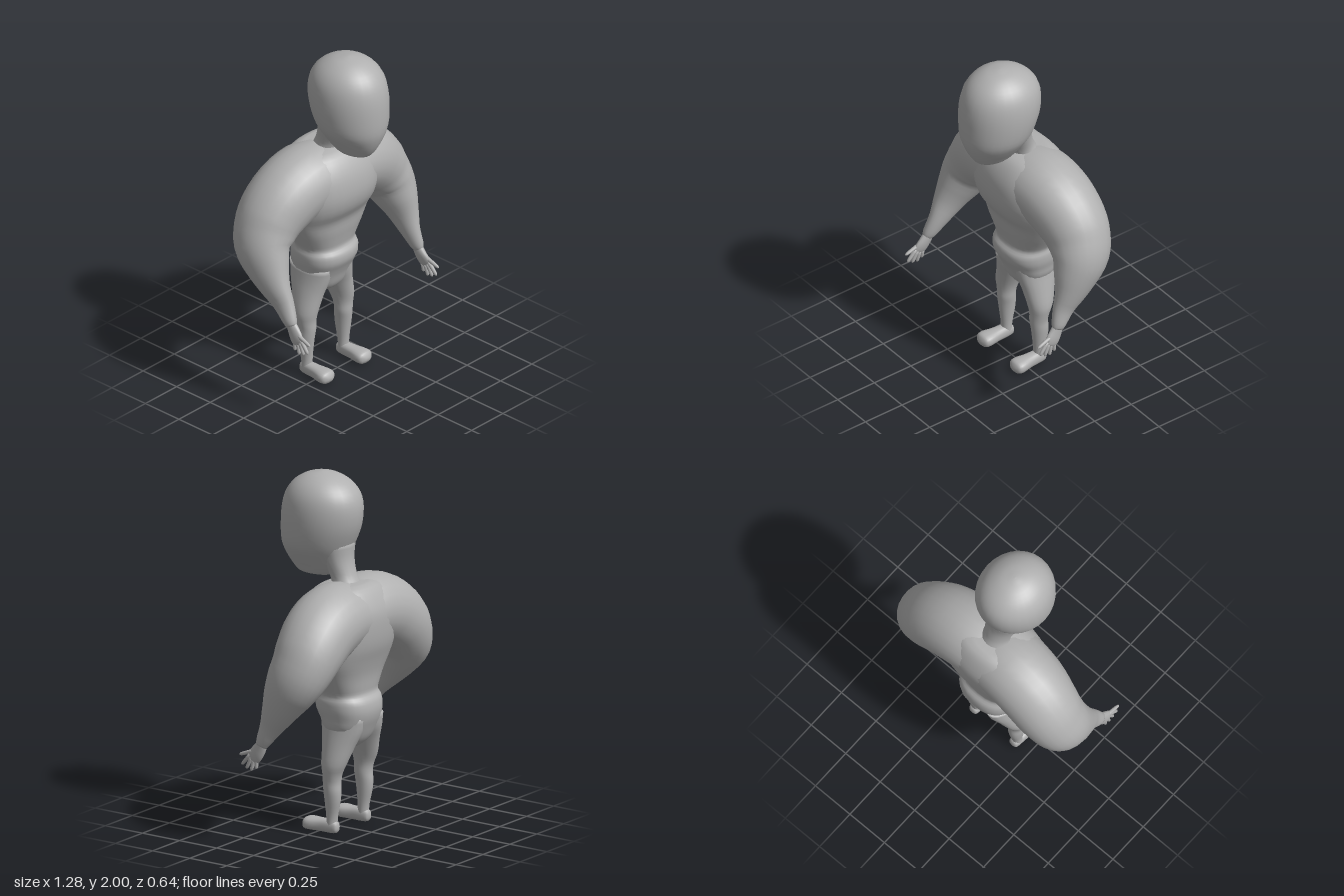
import * as THREE from 'three';

const X = new THREE.Vector3(1, 0, 0), Y = new THREE.Vector3(0, 1, 0), Z = new THREE.Vector3(0, 0, 1);

const skin = new THREE.MeshStandardMaterial({ color: 0xb0b0b0 });
skin.name = 'grey skin';

// Smooth closed skin through rows [x, y, z, sideRadius, depthRadius].
// axis fixes the ring plane; without it rings stand square to the path.
function loft(name, rows, { steps = 3, sides = 20, axis = null, depth = Z, power = 2 } = {}) {
  const path = new THREE.CatmullRomCurve3(rows.map(r => new THREE.Vector3(r[0], r[1], r[2])), false, 'catmullrom', 0.5);
  const size = new THREE.CatmullRomCurve3(rows.map(r => new THREE.Vector3(r[3], r[4], 0)), false, 'catmullrom', 0.5);
  const n = (rows.length - 1) * steps, pos = [], idx = [];
  const bend = v => Math.sign(v) * Math.abs(v) ** (2 / power);
  for (let i = 0; i <= n; i++) {
    const c = path.getPoint(i / n), r = size.getPoint(i / n);
    const t = axis || path.getTangent(i / n);
    const v = depth.clone().addScaledVector(t, -depth.dot(t)).normalize();
    const u = v.clone().cross(t);
    for (let j = 0; j < sides; j++) {
      const a = j / sides * Math.PI * 2;
      const p = c.clone()
        .addScaledVector(u, bend(Math.cos(a)) * Math.max(r.x, 0.001))
        .addScaledVector(v, bend(Math.sin(a)) * Math.max(r.y, 0.001));
      pos.push(p.x, p.y, p.z);
    }
  }
  for (let i = 0; i < n; i++) for (let j = 0; j < sides; j++) {
    const k = (j + 1) % sides, a = i * sides + j, b = i * sides + k;
    idx.push(a, b, a + sides, b, b + sides, a + sides);
  }
  // end caps
  [[0, rows[0]], [n, rows[rows.length - 1]]].forEach(([ring, r], end) => {
    const c = pos.length / 3;
    pos.push(r[0], r[1], r[2]);
    for (let j = 0; j < sides; j++) {
      const a = ring * sides + j, b = ring * sides + (j + 1) % sides;
      if (end) idx.push(a, b, c); else idx.push(b, a, c);
    }
  });
  const g = new THREE.BufferGeometry();
  g.setAttribute('position', new THREE.Float32BufferAttribute(pos, 3));
  g.setIndex(idx);
  g.computeVertexNormals();
  const mesh = new THREE.Mesh(g, skin);
  mesh.name = name;
  return mesh;
}

// Level rings from [y, halfWidth, frontZ, backZ, x]
const level = rows => rows.map(([y, w, f, b, x = 0]) => [x, y, (f + b) / 2, w, (f - b) / 2]);

function makeArm(s) {
  const arm = new THREE.Group();
  arm.name = s > 0 ? 'leftArm' : 'rightArm';
  // the right forearm reaches further forward than the left
  const reach = s > 0 ? -0.045 : 0.025;
  const place = rows => rows.map(([x, y, z, ...r]) =>
    [s * x, y, z + reach * Math.min(1, Math.max(0, (0.9 - y) / 0.35)), ...r]);
  arm.add(loft('shoulderAndArm', place([
    [0, 1.21, -0.09, 0.185, 0.21], [0.14, 1.22, -0.1, 0.2, 0.21],
    [0.28, 1.18, -0.11, 0.2, 0.205], [0.39, 1.1, -0.12, 0.187, 0.193],
    [0.455, 1.02, -0.115, 0.165, 0.18], [0.5, 0.94, -0.09, 0.142, 0.165],
    [0.52, 0.85, -0.04, 0.112, 0.135], [0.53, 0.76, 0.015, 0.078, 0.1],
    [0.53, 0.67, 0.075, 0.05, 0.068], [0.54, 0.59, 0.125, 0.036, 0.045],
    [0.545, 0.56, 0.14, 0.025, 0.034],
  ]), { sides: 24 }));
  arm.add(loft('palm', place([
    [0.54, 0.585, 0.128, 0.024, 0.03], [0.543, 0.54, 0.155, 0.022, 0.04],
    [0.547, 0.505, 0.178, 0.019, 0.045], [0.55, 0.478, 0.195, 0.012, 0.038],
    [0.55, 0.468, 0.202, 0.003, 0.012],
  ]), { sides: 14 }));
  // thumb first, then four fingers: [rootY, rootZ, tipY, tipZ]
  [[0.525, 0.19, 0.49, 0.285], [0.5, 0.215, 0.435, 0.27], [0.488, 0.205, 0.417, 0.238],
    [0.478, 0.19, 0.41, 0.205], [0.475, 0.17, 0.425, 0.173]].forEach(([y0, z0, y1, z1], i) => {
    const at = (k, r) => [0.548 + 0.004 * k, y0 + (y1 - y0) * k, z0 + (z1 - z0) * k, r, r];
    arm.add(loft(i ? 'finger' + i : 'thumb', place(
      [at(0, 0.012), at(0.5, 0.011), at(0.88, 0.009), at(1, 0.002)]), { steps: 2, sides: 8 }));
  });
  return arm;
}

function makeLeg(s) {
  const leg = new THREE.Group();
  leg.name = s > 0 ? 'leftLeg' : 'rightLeg';
  leg.position.x = -0.01;
  leg.add(loft('legShape', level([
    [0.03, 0.032, -0.05, -0.11, 0.146], [0.1, 0.032, -0.05, -0.116, 0.146],
    [0.18, 0.04, -0.042, -0.133, 0.148], [0.24, 0.046, -0.035, -0.138, 0.148],
    [0.29, 0.05, -0.03, -0.134, 0.145], [0.34, 0.056, -0.03, -0.142, 0.147],
    [0.4, 0.067, -0.02, -0.168, 0.142], [0.5, 0.078, -0.005, -0.203, 0.112],
    [0.58, 0.083, 0.015, -0.235, 0.09], [0.66, 0.075, 0.03, -0.25, 0.085],
  ]).map(([x, ...r]) => [s * x, ...r]), { axis: Y }));
  // foot runs from heel to toe
  leg.add(loft('foot', [
    [0.146, 0.036, -0.123, 0.01, 0.01], [0.146, 0.038, -0.112, 0.032, 0.027],
    [0.146, 0.04, -0.07, 0.038, 0.034], [0.147, 0.04, -0.01, 0.037, 0.04],
    [0.149, 0.04, 0.05, 0.037, 0.053], [0.149, 0.038, 0.083, 0.032, 0.046],
    [0.149, 0.035, 0.098, 0.01, 0.016],
  ].map(([x, ...r]) => [s * x, ...r]), { axis: Z, depth: X, power: 2.4 }));
  return leg;
}

export function createModel() {
  const model = new THREE.Group();
  model.name = 'muscularFigure';

  // egg-shaped head with a blunt jaw
  model.add(loft('head', level([
    [1.418, 0.045, 0.2, 0.03], [1.43, 0.075, 0.235, 0.0], [1.47, 0.105, 0.268, -0.04],
    [1.53, 0.148, 0.298, -0.07], [1.6, 0.188, 0.317, -0.103], [1.7, 0.206, 0.32, -0.142],
    [1.8, 0.206, 0.312, -0.155], [1.88, 0.188, 0.288, -0.138], [1.94, 0.148, 0.243, -0.09],
    [1.98, 0.09, 0.178, -0.02], [1.996, 0.035, 0.115, 0.045], [2, 0.004, 0.084, 0.076],
  ]), { axis: Y, sides: 28 }));
  // neck leaning back into the shoulders
  model.add(loft('neck', level([
    [1.33, 0.1, -0.01, -0.19], [1.4, 0.082, 0.0, -0.152], [1.45, 0.08, 0.02, -0.128],
    [1.53, 0.1, 0.06, -0.108], [1.62, 0.13, 0.1, -0.108],
  ]), { axis: Y }));
  // chest, waist crease, belly roll and hips
  model.add(loft('torso', level([
    [0.475, 0.03, -0.07, -0.15], [0.5, 0.08, -0.03, -0.185], [0.54, 0.13, 0.0, -0.215],
    [0.6, 0.165, 0.02, -0.24], [0.65, 0.173, 0.042, -0.258], [0.7, 0.184, 0.065, -0.265],
    [0.75, 0.185, 0.065, -0.256], [0.785, 0.177, 0.04, -0.23], [0.83, 0.198, 0.045, -0.232],
    [0.9, 0.238, 0.06, -0.242], [0.98, 0.28, 0.075, -0.265], [1.06, 0.3, 0.12, -0.292],
    [1.15, 0.31, 0.14, -0.306], [1.25, 0.3, 0.13, -0.306], [1.33, 0.26, 0.095, -0.275],
    [1.385, 0.2, 0.045, -0.235], [1.405, 0.1, -0.02, -0.19],
  ]), { axis: Y, sides: 28, power: 2.4 }));

  for (const s of [1, -1]) model.add(makeArm(s), makeLeg(s));
  return model;
}
